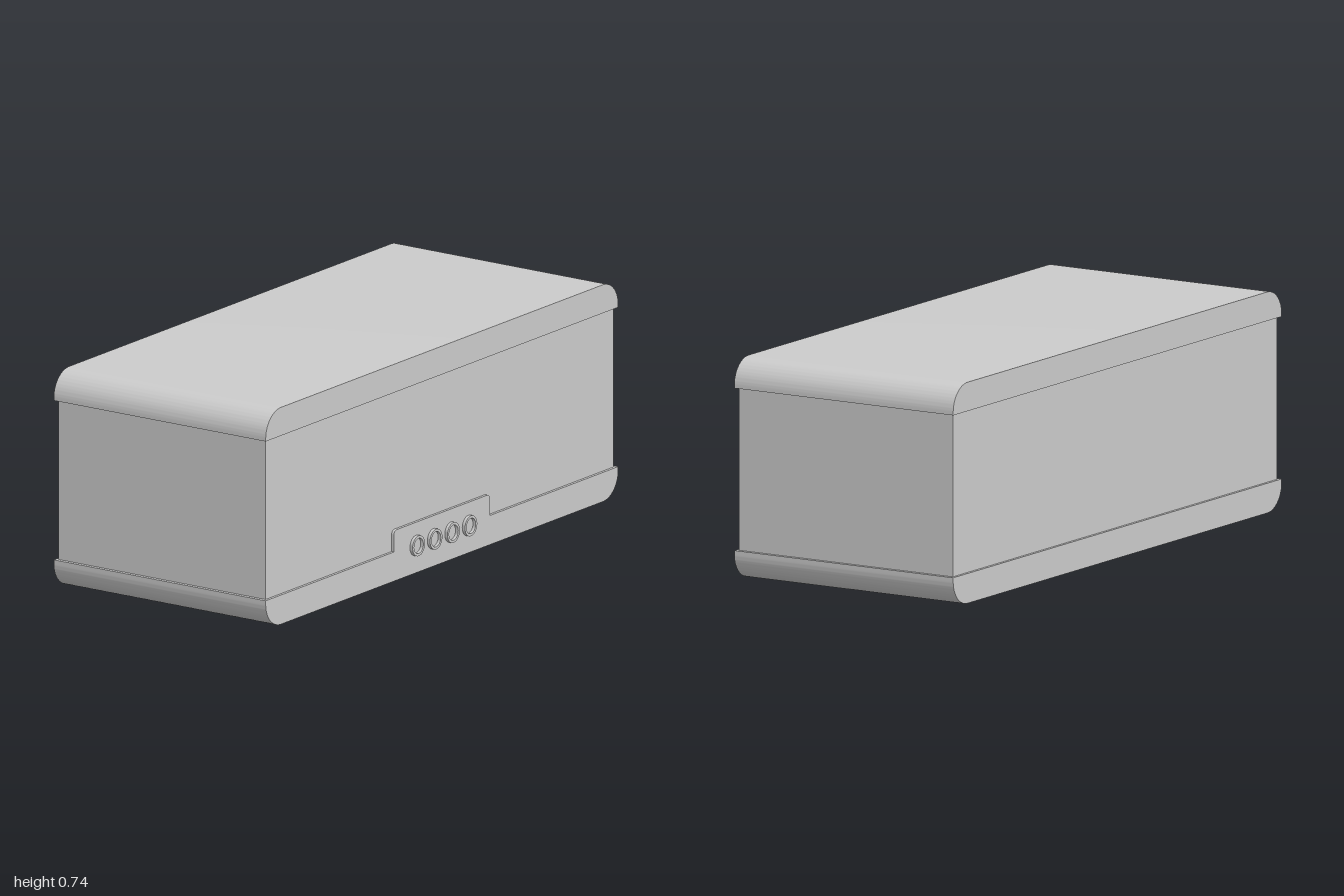
import * as THREE from 'three';
import { toCreasedNormals } from 'three/addons/utils/BufferGeometryUtils.js';

const material = new THREE.MeshStandardMaterial({ color: 0xcccccc });
const LEFT = 0.422, RIGHT = -0.435; // side faces of the caps
const BODY_LEFT = 0.412, BODY_RIGHT = -0.425;

// Extrudes a side profile (drawn in z and y) along x, from x0 to x1
function sideExtrude(name, shape, x0, x1) {
  let geometry = new THREE.ExtrudeGeometry(shape, { depth: x1 - x0, bevelEnabled: false, curveSegments: 16 });
  geometry.rotateY(Math.PI / 2);
  geometry.translate(x0, 0, 0);
  geometry = toCreasedNormals(geometry, 0.6);
  const mesh = new THREE.Mesh(geometry, material);
  mesh.name = name;
  return mesh;
}

// Slab with a flat edge at yFlat and two rounded corners at yRound
function slabShape(halfWidth, yFlat, yRound, r) {
  const s = Math.sign(yRound - yFlat);
  const up = s > 0;
  const shape = new THREE.Shape();
  shape.moveTo(-halfWidth, yFlat);
  shape.lineTo(halfWidth, yFlat);
  shape.lineTo(halfWidth, yRound - s * r);
  shape.absarc(halfWidth - r, yRound - s * r, r, 0, s * Math.PI / 2, !up);
  shape.absarc(-halfWidth + r, yRound - s * r, r, s * Math.PI / 2, s * Math.PI, !up);
  shape.closePath();
  return shape;
}

export function createModel() {
  const group = new THREE.Group();

  // Slightly inset box between the two caps
  const body = new THREE.Mesh(new THREE.BoxGeometry(BODY_LEFT - BODY_RIGHT, 0.545, 1.974), material);
  body.position.set((BODY_LEFT + BODY_RIGHT) / 2, 0.3725, 0);
  body.name = 'body';
  group.add(body);

  // Rounded caps
  group.add(sideExtrude('topCap', slabShape(1, 0.645, 0.742, 0.088), RIGHT, LEFT));
  group.add(sideExtrude('bottomCap', slabShape(1, 0.1, 0, 0.088), RIGHT, LEFT));

  // Raised tab rising from the bottom cap on the left side
  group.add(sideExtrude('controlTab', slabShape(0.272, 0.1, 0.173, 0.015), BODY_LEFT - 0.002, LEFT));

  // Row of ring-shaped buttons
  for (let i = 0; i < 4; i++) {
    const ring = new THREE.Shape().absarc(0, 0, 0.035, 0, Math.PI * 2);
    ring.holes.push(new THREE.Path().absarc(0, 0, 0.026, 0, Math.PI * 2, true));
    const button = sideExtrude('buttonRing' + (i + 1), ring, LEFT - 0.002, 0.433);
    button.position.set(0, 0.094, 0.147 - i * 0.099);
    group.add(button);
  }
  return group;
}
